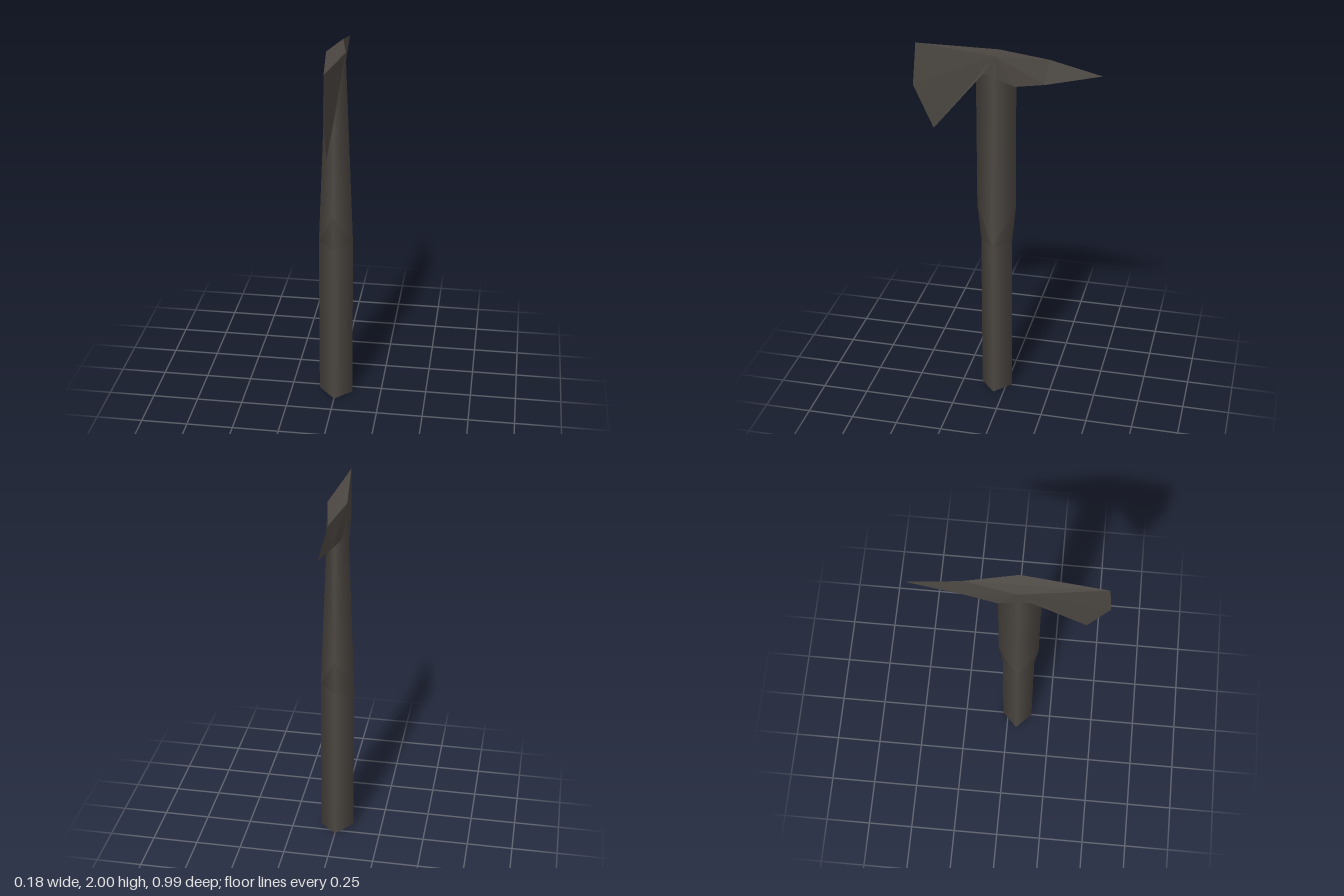
import * as THREE from 'three';

const darkIron = new THREE.MeshStandardMaterial({ color: 0x4b4641 });
darkIron.name = 'darkIron';

// Builds a mesh from named points and faces (each face is a fan of point names).
function facetMesh(name, points, faces, smooth) {
  const keys = Object.keys(points);
  const index = [];
  for (const face of faces) {
    for (let i = 1; i < face.length - 1; i++) {
      index.push(keys.indexOf(face[0]), keys.indexOf(face[i]), keys.indexOf(face[i + 1]));
    }
  }
  let geo = new THREE.BufferGeometry();
  geo.setAttribute('position', new THREE.Float32BufferAttribute(keys.flatMap(k => points[k]), 3));
  geo.setIndex(index);
  if (!smooth) geo = geo.toNonIndexed();
  geo.computeVertexNormals();
  const mesh = new THREE.Mesh(geo, darkIron);
  mesh.name = name;
  return mesh;
}

// Adds a mirrored twin (name + '2') for every point that is off the centre plane.
function mirrorPoints(points) {
  const all = { ...points };
  for (const [k, [x, y, z]] of Object.entries(points)) if (x !== 0) all[k + '2'] = [-x, y, z];
  return all;
}
function mirrorFaces(faces, points) {
  const twin = k => (k + '2' in points ? k + '2' : k);
  return faces.concat(faces.map(f => [f[0], ...f.slice(1).reverse()].map(twin)));
}

export function createModel() {
  const group = new THREE.Group();
  group.name = 'axe';

  // Grip: diamond section with rounded shading, one bottom corner slightly raised
  const gripGeo = new THREE.CylinderGeometry(1, 1, 0.92, 4);
  gripGeo.scale(0.092, 1, 0.085).translate(0, 0.46, 0.055);
  const pos = gripGeo.attributes.position;
  for (let i = 0; i < pos.count; i++) {
    if (pos.getX(i) < -0.08 && pos.getY(i) < 0.1) pos.setY(i, 0.015);
  }
  const grip = new THREE.Mesh(gripGeo, darkIron);
  grip.name = 'grip';
  group.add(grip);

  // Shaft: tapering diamond; its front and back corners are cut back at the collar
  const shaft = mirrorPoints({
    side0: [0.092, 0.92, 0.055], side1: [0.05, 1.97, 0.055],
    front0: [0, 0.92, 0.14], front1: [0, 1.12, 0.16], front2: [0, 1.97, 0.16],
    back0: [0, 0.92, -0.03], back1: [0, 1.12, -0.05], back2: [0, 1.97, -0.05],
  });
  group.add(facetMesh('shaft', shaft, mirrorFaces([
    ['front1', 'side0', 'side1'], ['front1', 'side1', 'front2'],
    ['back1', 'side1', 'side0'], ['back1', 'back2', 'side1'],
  ], shaft), true));
  group.add(facetMesh('collar', shaft, mirrorFaces([
    ['front0', 'side0', 'front1'], ['back0', 'back1', 'side0'],
  ], shaft), true));

  // Head: wedge blade in front, pointed spike behind
  const head = mirrorPoints({
    bladeTop: [0, 2, 0.475], bladeFront: [0, 1.77, 0.495], bladeTip: [0, 1.54, 0.39],
    cheek: [0.045, 1.88, 0.11], shoulder: [0.05, 1.98, 0.05],
    heel: [0.037, 1.82, -0.05], spikeBase: [0.015, 1.835, -0.2],
    spikeTop: [0, 1.965, -0.22], spikeTip: [0, 1.9, -0.49],
  });
  const sides = mirrorFaces([
    ['shoulder', 'bladeTop', 'bladeFront', 'bladeTip', 'cheek'],
    ['shoulder', 'cheek', 'heel'],
    ['shoulder', 'heel', 'spikeBase', 'spikeTop'],
    ['spikeTop', 'spikeBase', 'spikeTip'],
  ], head);
  group.add(facetMesh('head', head, [
    ...sides,
    ['bladeTop', 'shoulder', 'spikeTop', 'shoulder2'],
    ['bladeTip', 'cheek2', 'cheek'],
    ['cheek', 'cheek2', 'heel2', 'heel'],
    ['heel', 'heel2', 'spikeBase2', 'spikeBase'],
    ['spikeBase', 'spikeBase2', 'spikeTip'],
  ], false));

  return group;
}
